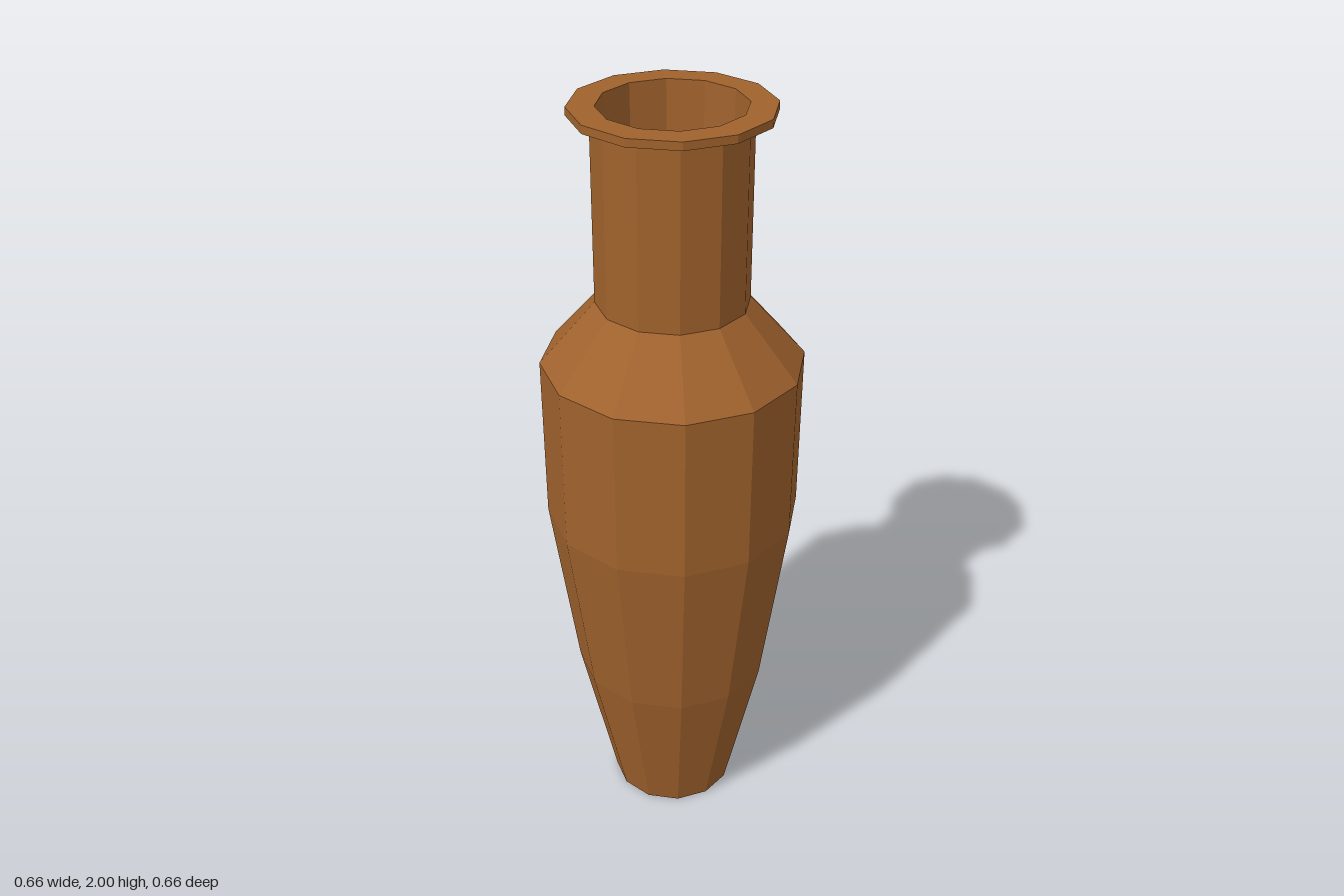
import * as THREE from 'three';

const SIDES = 12;
const clay = new THREE.MeshStandardMaterial({ color: 0xa0622d, flatShading: true });

// Turns a list of [radius, height] pairs into a faceted ring of surface
function turned(name, profile) {
  const points = profile.map(([r, y]) => new THREE.Vector2(r, y));
  const geometry = new THREE.LatheGeometry(points, SIDES).toNonIndexed();
  geometry.computeVertexNormals();
  const mesh = new THREE.Mesh(geometry, clay);
  mesh.name = name;
  return mesh;
}

export function createModel() {
  const vase = new THREE.Group();
  vase.name = 'vase';

  // Base and tapering body, up to the shoulder
  vase.add(turned('body', [[0, 0], [0.165, 0], [0.26, 0.43], [0.328, 0.92], [0.33, 1.355], [0.19, 1.515]]));

  // Straight neck
  vase.add(turned('neck', [[0.19, 1.515], [0.19, 1.98]]));

  // Flat flared lip
  vase.add(turned('lip', [[0.19, 1.98], [0.243, 1.98], [0.243, 2], [0.177, 2]]));

  // Hollow inside, from the mouth down to the floor
  vase.add(turned('inside', [[0.177, 2], [0.17, 1.51], [0.315, 1.345], [0.313, 0.92], [0.245, 0.43], [0.152, 0.015], [0, 0.015]]));

  return vase;
}
